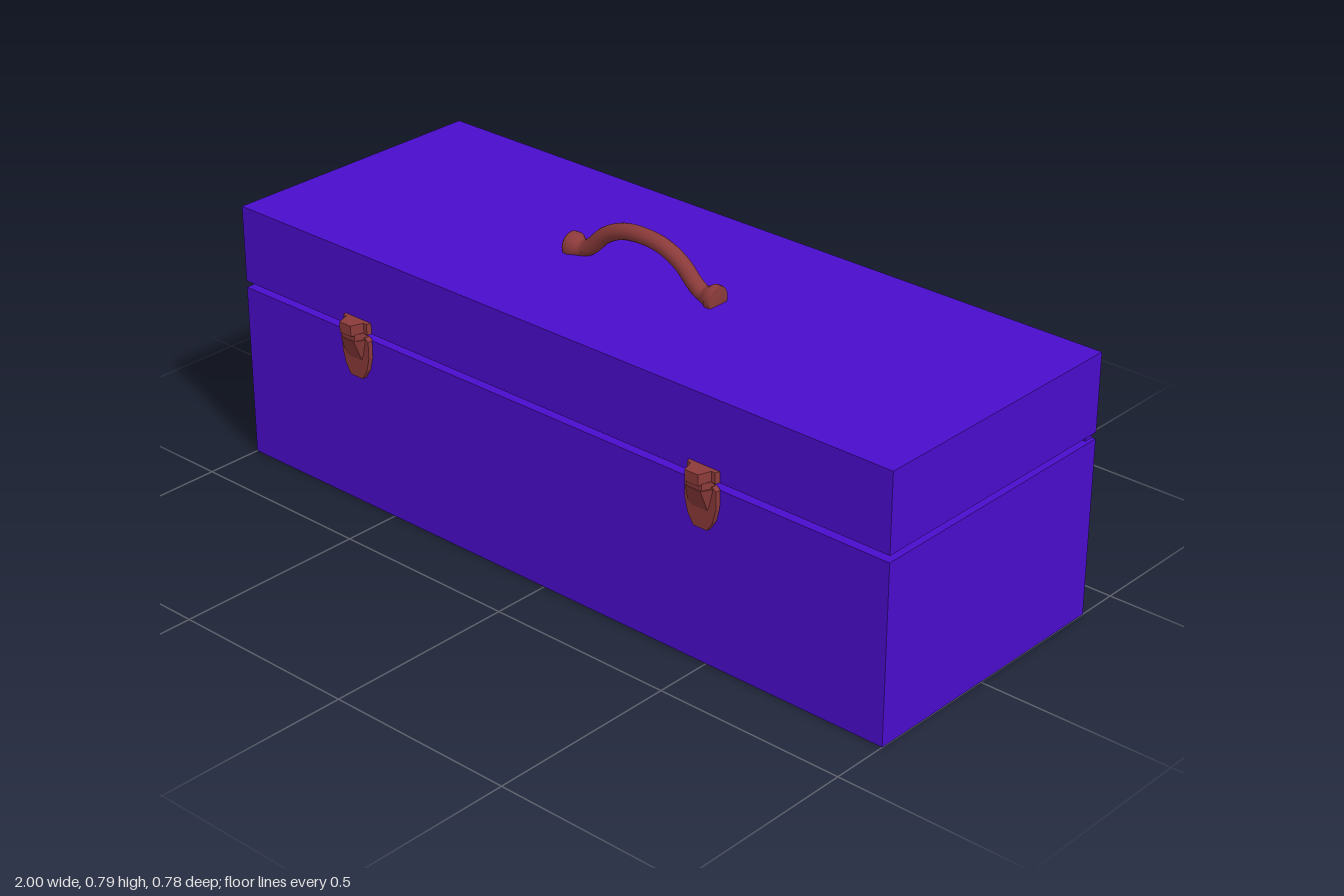
import * as THREE from 'three';

const paint = new THREE.MeshStandardMaterial({ color: 0x4a0ccc });
const brown = new THREE.MeshStandardMaterial({ color: 0x8b3a3a });
const brownFlat = new THREE.MeshStandardMaterial({ color: 0x8b3a3a, flatShading: true });

function add(parent, name, geometry, material) {
  const mesh = new THREE.Mesh(geometry, material);
  mesh.name = name;
  parent.add(mesh);
  return mesh;
}

// Box given by its limits on each axis
function block(parent, name, [x0, x1], [y0, y1], [z0, z1]) {
  const mesh = add(parent, name, new THREE.BoxGeometry(x1 - x0, y1 - y0, z1 - z0), paint);
  mesh.position.set((x0 + x1) / 2, (y0 + y1) / 2, (z0 + z1) / 2);
}

// Block whose front face is narrower than its back and may lean inwards at the bottom
function wedge(y0, y1, zBack, zTop, zBottom, backHalf, frontHalf) {
  const g = new THREE.BoxGeometry(2, 2, 2);
  const p = g.attributes.position;
  for (let i = 0; i < p.count; i++) {
    const front = p.getZ(i) > 0, top = p.getY(i) > 0;
    p.setXYZ(i, p.getX(i) * (front ? frontHalf : backHalf), top ? y1 : y0,
      front ? (top ? zTop : zBottom) : zBack);
  }
  g.computeVertexNormals();
  return g;
}

function createLatch(x) {
  const latch = new THREE.Group();
  latch.name = 'latch';
  latch.position.x = x;

  // Thin shield-shaped plate on the body
  const half = [[0.02, 0.35], [0.036, 0.375], [0.045, 0.41], [0.045, 0.455], [0.034, 0.463]];
  const outline = [...half, ...half.map(([a, b]) => [-a, b]).reverse()];
  const plate = new THREE.ExtrudeGeometry(
    new THREE.Shape(outline.map(([a, b]) => new THREE.Vector2(a, b))),
    { depth: 0.015, bevelEnabled: false });
  plate.translate(0, 0, 0.348);
  add(latch, 'latchPlate', plate, brownFlat);

  // Sloping lever, neck across the gap, and catch on the lid
  add(latch, 'latchLever', wedge(0.4, 0.458, 0.36, 0.388, 0.364, 0.038, 0.022), brownFlat);
  add(latch, 'latchNeck', wedge(0.455, 0.475, 0.356, 0.385, 0.385, 0.034, 0.022), brownFlat);
  add(latch, 'catchPlate', wedge(0.472, 0.5, 0.348, 0.361, 0.361, 0.045, 0.04), brownFlat);
  add(latch, 'catchHook', wedge(0.472, 0.5, 0.36, 0.393, 0.393, 0.03, 0.019), brownFlat);
  return latch;
}

function createHandle() {
  const handle = new THREE.Group();
  handle.name = 'handle';
  handle.position.set(-0.01, 0, -0.005);

  // Arched grip
  const half = [[0.205, 0.686], [0.18, 0.688], [0.155, 0.705], [0.12, 0.738], [0.065, 0.765]];
  const points = [...half.map(([x, y]) => [-x, y]), [0, 0.773], ...half.slice().reverse()];
  const curve = new THREE.CatmullRomCurve3(points.map(([x, y]) => new THREE.Vector3(x, y, 0)));
  add(handle, 'grip', new THREE.TubeGeometry(curve, 48, 0.02, 16), brown);

  // Flared round feet
  const profile = [[0, 0.23], [0.031, 0.23], [0.033, 0.227], [0.033, 0.212],
    [0.027, 0.204], [0.021, 0.19], [0.016, 0.175]].reverse()
    .map(([r, h]) => new THREE.Vector2(r, h));
  for (const side of [-1, 1]) {
    const foot = add(handle, 'handleFoot', new THREE.LatheGeometry(profile, 20), brown);
    foot.rotation.z = -side * Math.PI / 2;
    foot.position.y = 0.684;
  }
  return handle;
}

export function createModel() {
  const model = new THREE.Group();
  model.name = 'toolbox';

  // Body and lid, separated by a narrow recessed seam
  block(model, 'body', [-1, 1], [0, 0.455], [-0.39, 0.35]);
  block(model, 'lid', [-1, 1], [0.472, 0.671], [-0.39, 0.35]);
  block(model, 'innerLip', [-0.93, 0.93], [0.45, 0.477], [-0.37, 0.325]);
  block(model, 'hingeStrip', [-0.99, 0.99], [0.45, 0.477], [-0.39, -0.365]);

  for (const x of [-0.6, 0.49]) model.add(createLatch(x));
  model.add(createHandle());
  return model;
}
